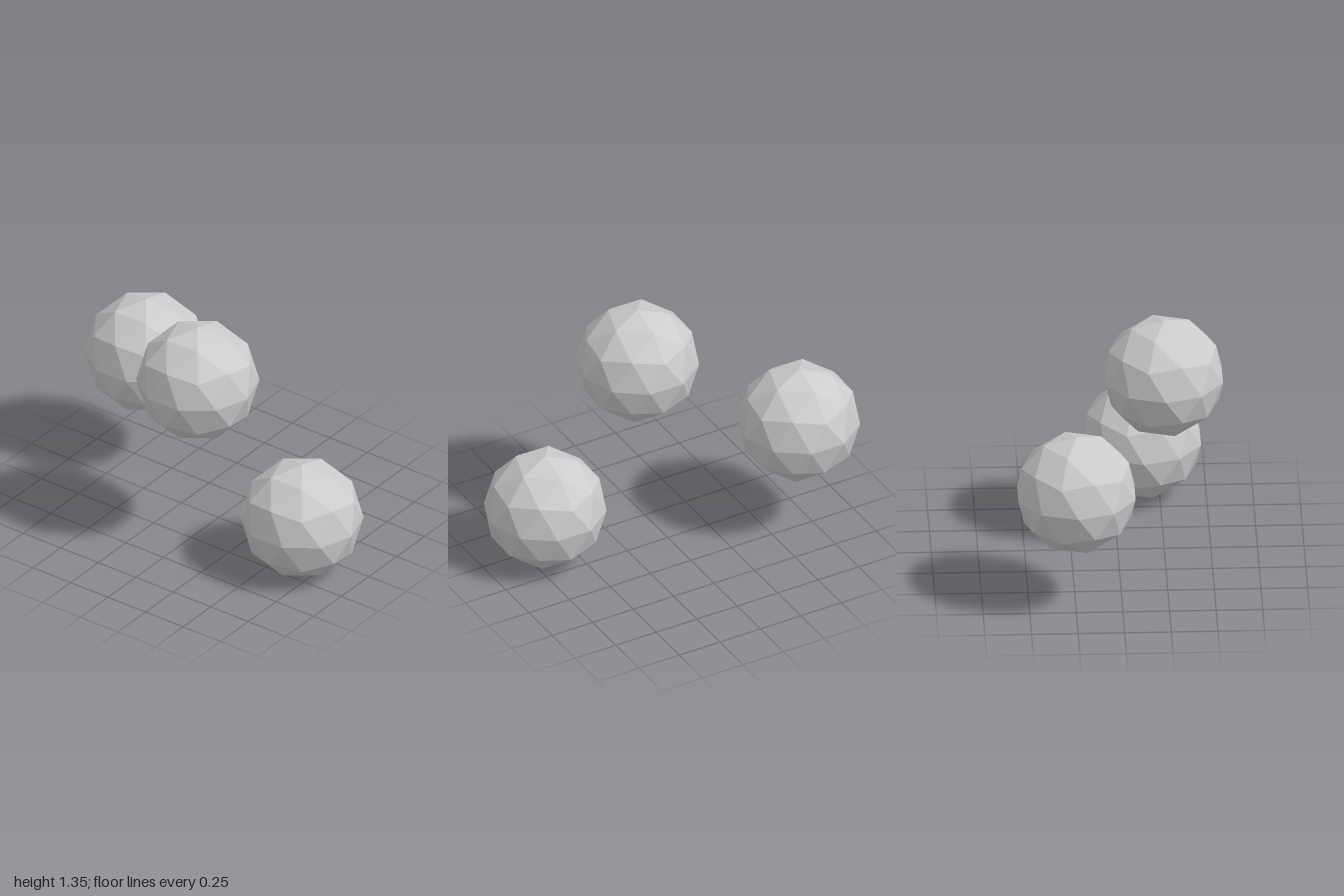
import * as THREE from 'three';

const RADIUS = 0.331;

// Ball centres
const BALLS = [
  ['frontBall', -0.155, 0.333, 0.668],
  ['upperBall', -0.249, 1.017, 0.043],
  ['rearBall', 0.247, 0.682, -0.668],
];

export function createModel() {
  const group = new THREE.Group();
  group.name = 'balls';
  const material = new THREE.MeshStandardMaterial({ color: 0xcccccc, flatShading: true });

  // 80-sided ball, turned so that one five-sided corner points straight up
  const geometry = new THREE.IcosahedronGeometry(RADIUS, 1);
  geometry.rotateZ(-Math.atan(2 / (1 + Math.sqrt(5))));

  for (const [name, x, y, z] of BALLS) {
    const ball = new THREE.Mesh(geometry, material);
    ball.name = name;
    ball.position.set(x, y, z);
    group.add(ball);
  }
  return group;
}
